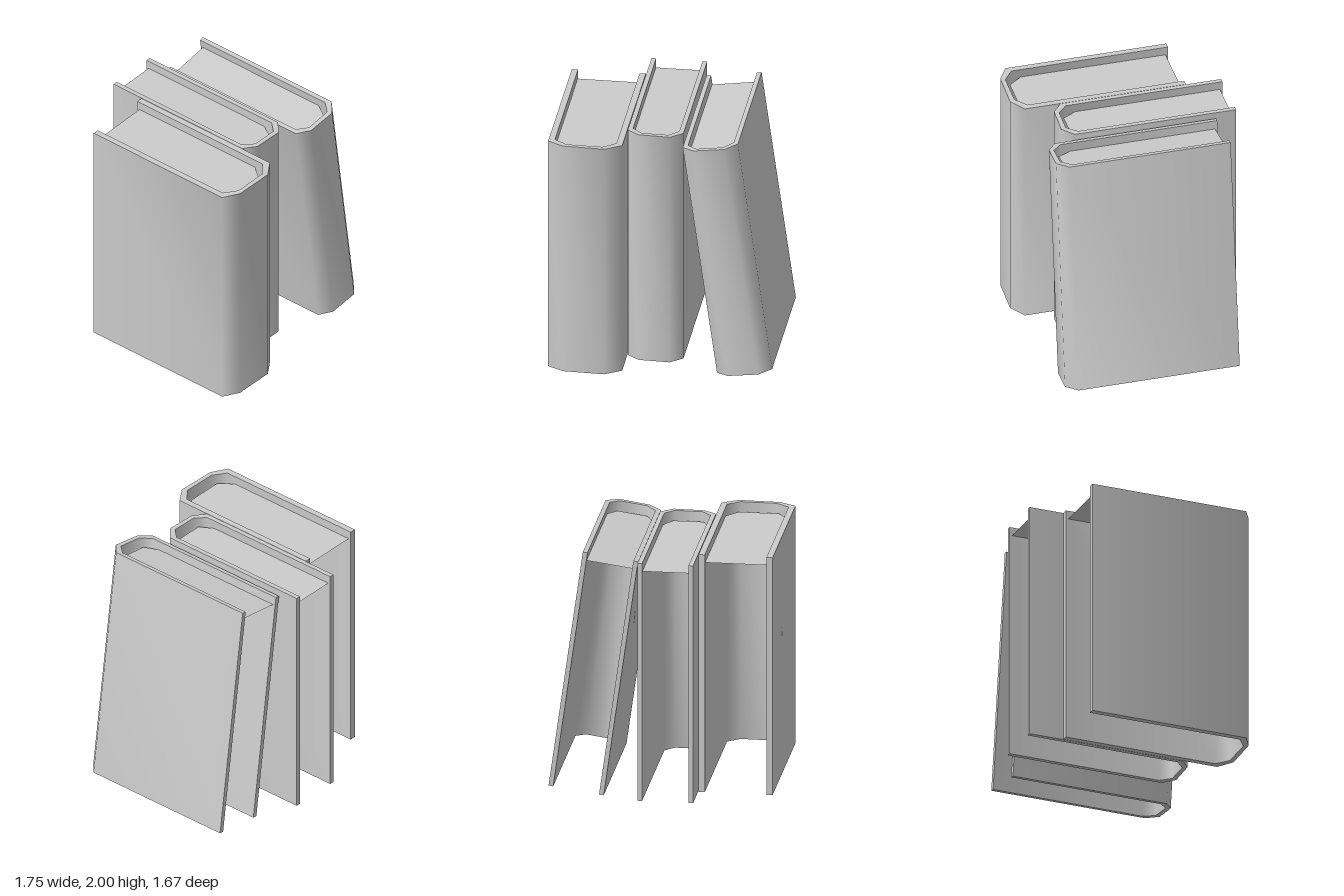
import * as THREE from 'three';
import { toCreasedNormals } from 'three/addons/utils/BufferGeometryUtils.js';

const HEIGHT = 1.955; // cover height
const PAGE_Y = HEIGHT - 0.07; // page tops sit below the cover rim
const BACK = -0.695; // open edge of the covers

// Outlines seen from above as [x, z]
const outer = [[-0.2925, BACK], [-0.2925, 0.61], [-0.165, 0.685], [0.165, 0.695], [0.2925, 0.61], [0.2925, BACK]];
const inner = [[-0.243, BACK], [-0.243, 0.575], [-0.14, 0.65], [0.145, 0.655], [0.243, 0.575], [0.243, BACK]];
const pages = [[-0.243, -0.675], [-0.243, 0.5], [-0.16, 0.61], [0.155, 0.61], [0.243, 0.5], [0.243, -0.675]];

// Plan outline to shape; -z becomes the shape's y so it can be laid flat
const planShape = (points) => new THREE.Shape(points.map(([x, z]) => new THREE.Vector2(x, -z)));

function createBook(name, thickness) {
  const book = new THREE.Group();
  book.name = name;

  // U-shaped cover: two boards joined by a softly shaded spine
  const coverShape = planShape([...outer, ...[...inner].reverse()]);
  const coverGeometry = new THREE.ExtrudeGeometry(coverShape, { depth: HEIGHT, bevelEnabled: false });
  coverGeometry.rotateX(-Math.PI / 2).scale(thickness, 1, 1);
  const cover = new THREE.Mesh(
    toCreasedNormals(coverGeometry, 1.2),
    new THREE.MeshStandardMaterial({ color: 0xcccccc })
  );
  cover.name = 'cover';

  // Thin sheet standing in for the page tops
  const pageGeometry = new THREE.ShapeGeometry(planShape(pages));
  pageGeometry.rotateX(-Math.PI / 2).scale(thickness, 1, 1).translate(0, PAGE_Y, 0);
  const pageTop = new THREE.Mesh(
    pageGeometry,
    new THREE.MeshStandardMaterial({ color: 0xcccccc, side: THREE.DoubleSide })
  );
  pageTop.name = 'pageTop';

  book.add(cover, pageTop);
  return book;
}

export function createModel() {
  const model = new THREE.Group();
  model.name = 'books';

  const placements = [
    { name: 'thickBook', thickness: 1, position: [-0.586, 0.025, 0.14], tilt: 0 },
    { name: 'middleBook', thickness: 0.752, position: [-0.07, 0.025, -0.145], tilt: 0 },
    { name: 'leaningBook', thickness: 0.752, position: [0.657, 0.032, 0.022], tilt: 0.139 },
  ];
  for (const { name, thickness, position, tilt } of placements) {
    const book = createBook(name, thickness);
    book.position.set(...position);
    book.rotation.z = tilt;
    model.add(book);
  }
  return model;
}
